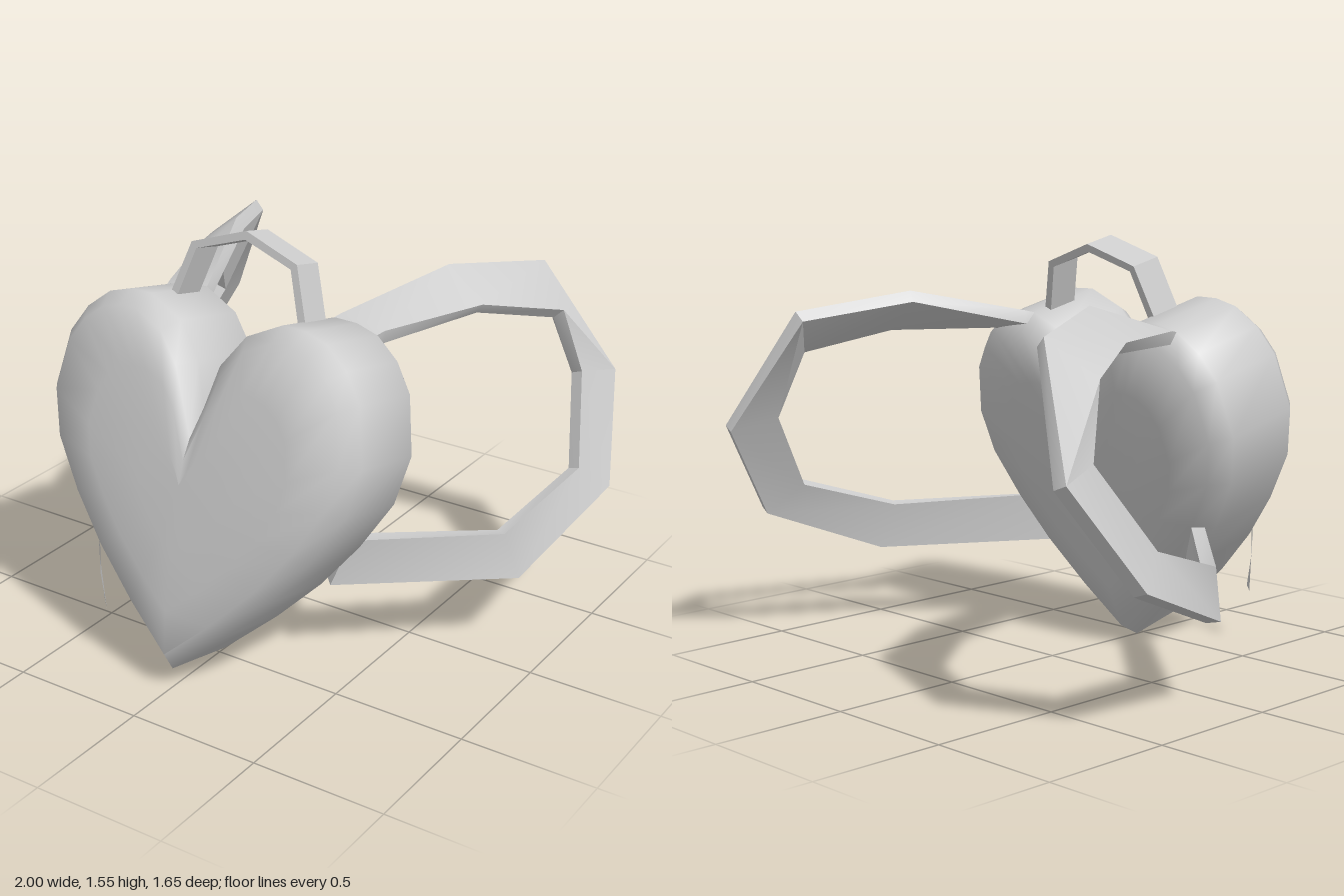
import * as THREE from 'three';
import { toCreasedNormals } from 'three/addons/utils/BufferGeometryUtils.js';

// Skin a list of closed cross-sections and close both ends with fans
function loft(rings, crease) {
  const pos = [];
  const n = rings[0].length;
  const tri = (...pts) => pts.forEach((p) => pos.push(p.x, p.y, p.z));
  for (let r = 0; r < rings.length - 1; r++) {
    for (let i = 0; i < n; i++) {
      const j = (i + 1) % n;
      const a = rings[r][i], b = rings[r + 1][i], c = rings[r + 1][j], d = rings[r][j];
      tri(a, b, c);
      tri(a, c, d);
    }
  }
  const middle = (ring) => ring.reduce((s, p) => s.add(p), new THREE.Vector3()).divideScalar(n);
  const first = rings[0], last = rings[rings.length - 1];
  const c0 = middle(first), c1 = middle(last);
  for (let i = 0; i < n; i++) {
    const j = (i + 1) % n;
    tri(c0, first[i], first[j]);
    tri(c1, last[j], last[i]);
  }
  const g = new THREE.BufferGeometry();
  g.setAttribute('position', new THREE.Float32BufferAttribute(pos, 3));
  return toCreasedNormals(g, crease);
}

// Band from pairs of edge points on its outer face, thickened inwards
function band(pairs, thickness) {
  const edges = pairs.map(([a, b]) => [new THREE.Vector3(...a), new THREE.Vector3(...b)]);
  const rings = edges.map(([a, b], i) => {
    const before = edges[Math.max(i - 1, 0)], after = edges[Math.min(i + 1, edges.length - 1)];
    const along = after[0].clone().add(after[1]).sub(before[0]).sub(before[1]);
    const inward = along.cross(b.clone().sub(a)).setLength(thickness);
    return [a, a.clone().add(inward), b.clone().add(inward), b];
  });
  return loft(rings, 0.6);
}

// Heart outline moved inwards by d, with limited mitres
function inset(points, d) {
  const n = points.length;
  return points.map((p, i) => {
    const q = points[(i + n - 1) % n], s = points[(i + 1) % n];
    const n1 = new THREE.Vector2(p.y - q.y, q.x - p.x).normalize();
    const n2 = new THREE.Vector2(s.y - p.y, p.x - s.x).normalize();
    const move = n1.clone().add(n2).multiplyScalar(d / Math.max(0.05, 1 + n1.dot(n2)));
    return p.clone().add(move.clampLength(0, d * 2));
  });
}

function heartGeometry() {
  const half = [
    [0.045, 0.995], [0.136, 1.116], [0.27, 1.182], [0.36, 1.18], [0.447, 1.155], [0.535, 1.085],
    [0.6, 0.985], [0.64, 0.78], [0.6, 0.6], [0.49, 0.415], [0.36, 0.245], [0.2, 0.078],
  ];
  const outline = [
    [0, 0.84], ...half, [0, -0.103], ...half.slice().reverse().map(([x, y]) => [-x, y]),
  ].map(([x, y]) => new THREE.Vector2(x, y));
  const rim = inset(outline, 0.05);
  const ring = (pts, z, s = 1) =>
    pts.map((p) => new THREE.Vector3(p.x * s, 0.5 + (p.y - 0.5) * s, z));
  return loft([
    ring(rim, 0.335, 0.3), ring(rim, 0.345, 0.7), ring(rim, 0.375),
    ring(outline, 0.45), ring(outline, 0.775),
    ring(rim, 0.838), ring(rim, 0.862, 0.7), ring(rim, 0.87, 0.3),
  ], 1.0);
}

export function createModel() {
  const model = new THREE.Group();
  model.name = 'heartBackpack';
  const grey = new THREE.MeshStandardMaterial({ color: 0xcccccc, side: THREE.DoubleSide });
  grey.name = 'light grey';
  const add = (name, geometry, parent = model) => {
    const mesh = new THREE.Mesh(geometry, grey);
    mesh.name = name;
    parent.add(mesh);
    return mesh;
  };

  // Padded heart and top handle, leaning back together
  const bag = new THREE.Group();
  bag.name = 'bag';
  bag.rotation.x = -0.23;
  model.add(bag);
  add('heartBody', heartGeometry(), bag);
  const arch = [[-0.27, 1.11], [-0.195, 1.345], [0, 1.41], [0.195, 1.345], [0.27, 1.11]];
  add('carryHandle', band(arch.map(([x, y]) => [[x, y, 0.52], [x, y, 0.65]]).reverse(), 0.03), bag);

  // Shoulder straps, twisting as they loop from the top to the lower side
  const strap = band([
    [[0.25, 1.24, 0.22], [0.43, 1.22, 0.22]],
    [[0.28, 1.262, 0.14], [0.455, 1.235, 0.14]],
    [[0.46, 1.35, -0.28], [0.61, 1.235, -0.26]],
    [[0.64, 1.285, -0.67], [0.78, 1.155, -0.56]],
    [[0.885, 0.86, -0.815], [0.83, 0.9, -0.64]],
    [[1.0, 0.505, -0.575], [0.93, 0.61, -0.45]],
    [[0.89, 0.31, -0.09], [0.84, 0.485, -0.06]],
    [[0.39, 0.34, 0.37], [0.45, 0.515, 0.33]],
  ], 0.05);
  add('leftStrap', strap);
  add('rightStrap', strap).scale.x = -1;

  // Small zip pull hanging at the side
  const tag = new THREE.BufferGeometry();
  tag.setAttribute('position', new THREE.Float32BufferAttribute([
    -0.375, 0.44, 0.7, -0.335, 0.435, 0.74, -0.34, 0.33, 0.74,
    -0.37, 0.33, 0.7, -0.31, 0.2, 0.75, -0.38, 0.2, 0.68,
  ], 3));
  tag.setIndex([0, 3, 2, 0, 2, 1, 3, 5, 4, 3, 4, 2]);
  tag.computeVertexNormals();
  add('zipPull', tag);
  return model;
}
